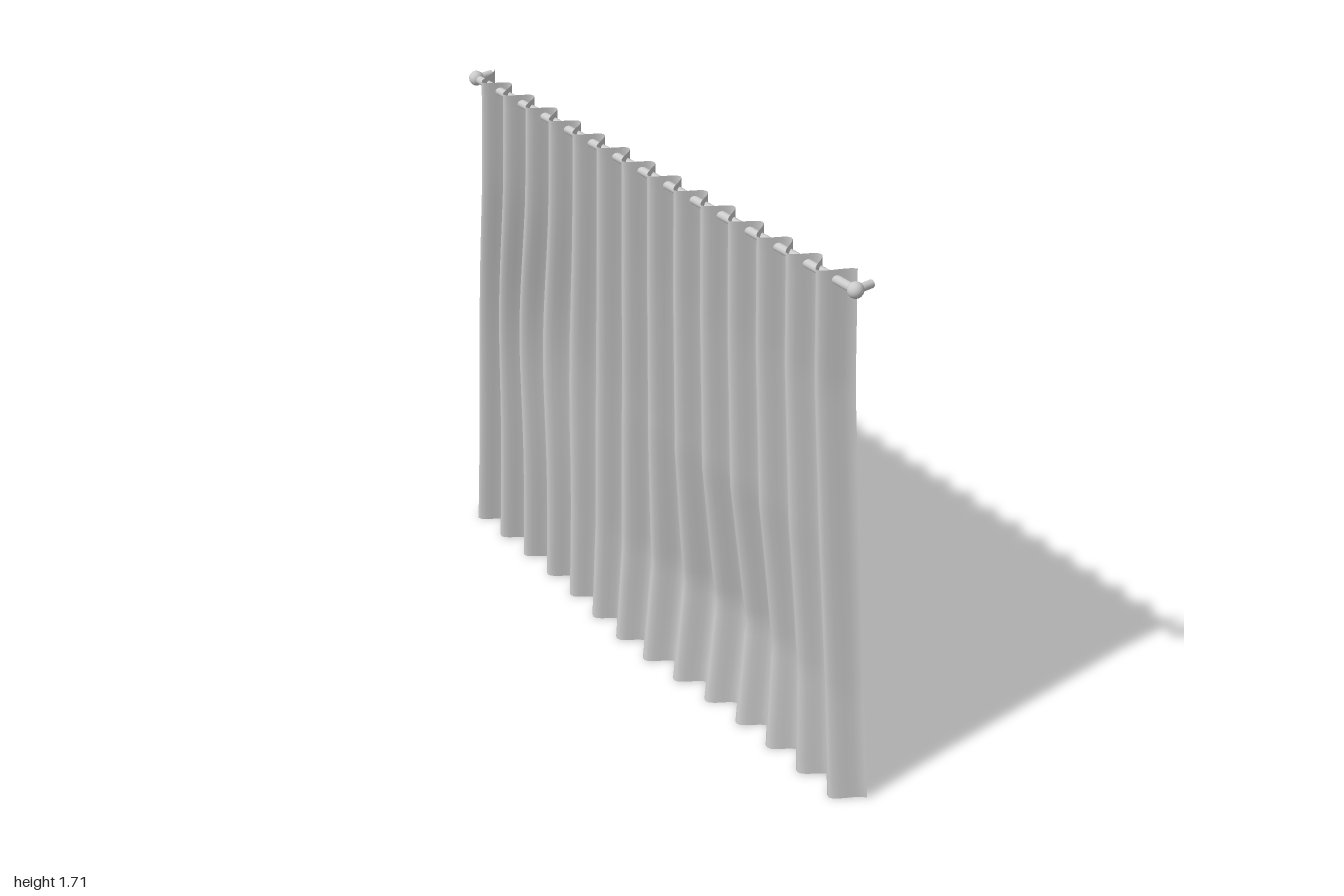
import * as THREE from 'three';

const HEIGHT = 1.71, FOLDS = 14, COLS = FOLDS * 12, ROWS = 38;
const ROD_Y = 1.68;

// Piecewise linear lookup through [y, value] pairs
function lookup(pairs, y) {
  for (let i = 1; i < pairs.length; i++) {
    const [y0, v0] = pairs[i - 1], [y1, v1] = pairs[i];
    if (y <= y1) return v0 + (v1 - v0) * (y - y0) / (y1 - y0);
  }
  return pairs[pairs.length - 1][1];
}
const bump = (v, centre, width) => Math.exp(-(((v - centre) / width) ** 2));

// Side edges, spreading towards the hem
const frontEdge = [[0, 1], [0.35, 0.955], [1.36, 0.848], [HEIGHT, 0.83]];
const backEdge = [[0, -1], [0.35, -0.965], [1.36, -0.867], [HEIGHT, -0.845]];

// Pleated sheet: u runs front to back, y runs up
function curtainPoint(u, y) {
  const z0 = lookup(frontEdge, y), z1 = lookup(backEdge, y);
  let z = z0 + (z1 - z0) * u;
  // regular folds, with the outer half folds flaring at the edges
  let x = -0.01 + 0.035 * Math.cos(u * FOLDS * Math.PI * 2);
  const edge = Math.min(u, 1 - u) * FOLDS * 2;
  x += 0.02 * Math.max(0, 1 - edge);
  // soft outward bulge low down, and a hem swung the other way
  const tent = Math.max(0, y > 0.36 ? 1 - (y - 0.36) / 0.5 : 1 - (0.36 - y) / 0.41);
  x += 0.055 * tent * bump(z, 0.42, z > 0.42 ? 0.32 : 0.45);
  x -= 0.036 * Math.max(0, 1 - y / 0.9) * bump(z, 0, 0.35);
  // sideways drift of the folds
  z -= 0.035 * bump(y, 0.9, 0.38) * bump(z, -0.55, 0.25);
  return [x, y, z];
}

function curtainGeometry() {
  const geometry = new THREE.PlaneGeometry(1, 1, COLS, ROWS);
  const pos = geometry.attributes.position;
  for (let i = 0; i < pos.count; i++) {
    pos.setXYZ(i, ...curtainPoint(pos.getX(i) + 0.5, (pos.getY(i) + 0.5) * HEIGHT));
  }
  geometry.computeVertexNormals();
  return geometry;
}

export function createModel() {
  const group = new THREE.Group();
  const metal = new THREE.MeshStandardMaterial({ color: 0xcccccc });
  const cloth = new THREE.MeshStandardMaterial({ color: 0xcccccc, side: THREE.DoubleSide });

  const add = (name, geometry, material, x, y, z) => {
    const mesh = new THREE.Mesh(geometry, material);
    mesh.name = name;
    mesh.position.set(x, y, z);
    group.add(mesh);
    return mesh;
  };

  add('curtain', curtainGeometry(), cloth, 0, 0, 0);

  // Rod running through the folds
  add('rod', new THREE.CylinderGeometry(0.013, 0.013, 1.75, 16).rotateX(Math.PI / 2), metal, 0, ROD_Y, -0.005);

  // Ball finials and wall brackets at both ends
  for (const [side, z] of [['front', 0.873], ['back', -0.883]]) {
    add(side + 'Finial', new THREE.SphereGeometry(0.023, 20, 14), metal, 0, ROD_Y, z);
    add(side + 'Bracket', new THREE.CylinderGeometry(0.012, 0.012, 0.057, 16).rotateZ(Math.PI / 2),
      metal, 0.0285, ROD_Y, z);
  }
  return group;
}
